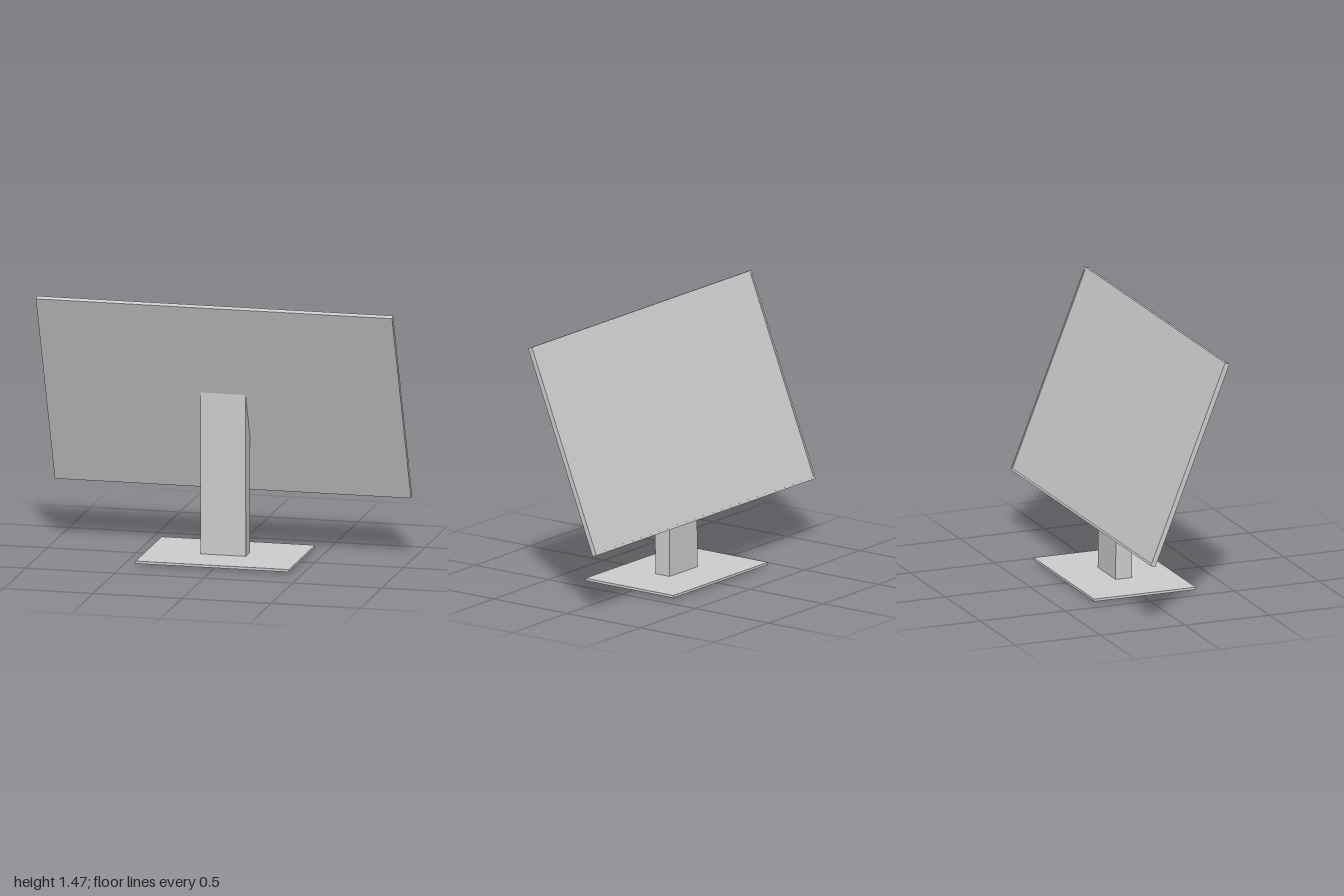
import * as THREE from 'three';

export function createModel() {
  const model = new THREE.Group();
  const material = new THREE.MeshStandardMaterial({ color: 0xcccccc, flatShading: true });
  const add = (name, geometry, parent = model) => {
    const mesh = new THREE.Mesh(geometry, material);
    mesh.name = name;
    parent.add(mesh);
    return mesh;
  };
  const rect = (target, w, h) => {
    target.moveTo(-w / 2, -h / 2);
    target.lineTo(w / 2, -h / 2);
    target.lineTo(w / 2, h / 2);
    target.lineTo(-w / 2, h / 2);
    target.closePath();
    return target;
  };

  // Flat rectangular base plate on tiny pads
  add('base', new THREE.BoxGeometry(0.862, 0.014, 0.6)).position.y = 0.019;
  for (const x of [-0.3, 0.3]) {
    for (const z of [-0.2, 0.2]) {
      add('footPad', new THREE.CylinderGeometry(0.008, 0.008, 0.014, 8)).position.set(x, 0.007, z);
    }
  }

  // Column: side profile cut to the slope of the display, extruded across x
  const profile = new THREE.Shape([
    [-0.05, 0.011], [0.047, 0.011], [0.041, 0.69], [-0.057, 0.935],
  ].map(([z, y]) => new THREE.Vector2(z, y)));
  const column = new THREE.ExtrudeGeometry(profile, { depth: 0.254, bevelEnabled: false });
  column.translate(0, 0, -0.127).rotateY(Math.PI / 2);
  add('column', column);

  // Display leans so that its screen, on the -z side, looks upward
  const display = new THREE.Group();
  display.name = 'display';
  display.position.set(0, 0.9075, 0.032);
  display.rotation.x = Math.atan2(0.439, 1.107);
  model.add(display);

  const width = 2, height = 1.191, depth = 0.028, rim = 0.012, recess = 0.003;
  const housing = add('housing', new THREE.BoxGeometry(width, height, depth - recess), display);
  housing.position.z = recess / 2;

  // Thin raised rim around the screen
  const frame = rect(new THREE.Shape(), width, height);
  frame.holes.push(rect(new THREE.Path(), width - 2 * rim, height - 2 * rim));
  const bezel = add('bezel', new THREE.ExtrudeGeometry(frame, { depth: recess, bevelEnabled: false }), display);
  bezel.position.z = -depth / 2;

  return model;
}
